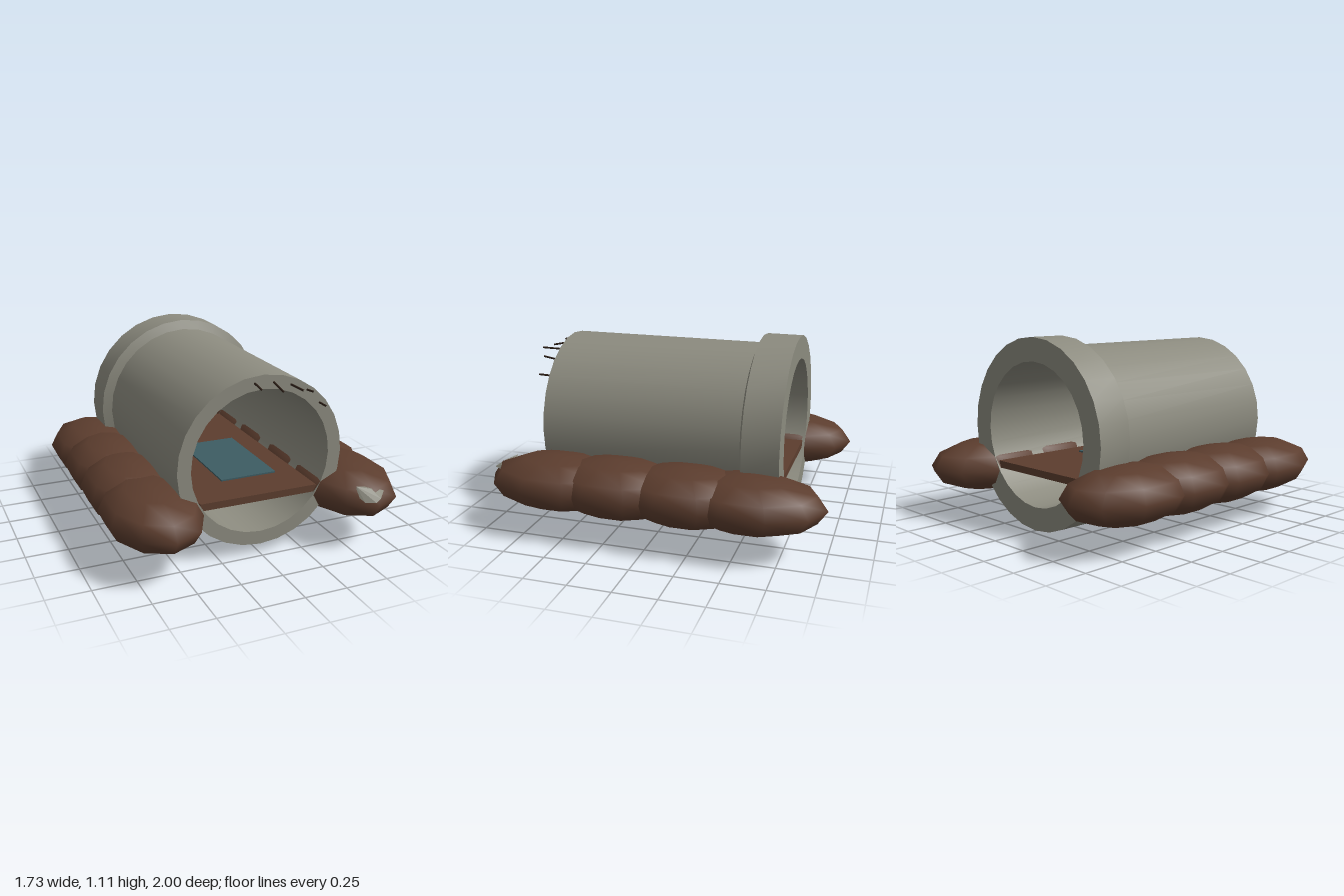
import * as THREE from 'three';
import { toCreasedNormals } from 'three/addons/utils/BufferGeometryUtils.js';
import { ConvexGeometry } from 'three/addons/geometries/ConvexGeometry.js';

const mat = (name, color, extra = {}) =>
  Object.assign(new THREE.MeshStandardMaterial({ color, ...extra }), { name });

export function createModel() {
  const concrete = mat('concrete', 0x8c8b7f);
  const brown = mat('brown', 0x5c3d2e);
  const teal = mat('teal', 0x3d5c63);
  const iron = mat('rusty iron', 0x2e2018);

  const root = new THREE.Group();
  root.name = 'pipeShelter';
  const add = (name, geometry, material, parent = root) => {
    const mesh = new THREE.Mesh(geometry, material);
    mesh.name = name;
    parent.add(mesh);
    return mesh;
  };

  // Hollow pipe with a wider collar at the back; profile is (radius, z)
  const profile = [
    [0.42, -0.715], [0.557, -0.715], [0.557, -0.5], [0.5, -0.48],
    [0.5, 0.715], [0.42, 0.715], [0.42, -0.715],
  ].map(([r, z]) => new THREE.Vector2(r, z));
  const pipe = new THREE.LatheGeometry(profile, 28).rotateX(Math.PI / 2);
  add('pipe', toCreasedNormals(pipe, 0.5), concrete).position.y = 0.558;

  // Row of four sandbags along each side
  const rows = [
    { name: 'leftSandbags', x: 0.6, centres: [0.575, 0.21, -0.21, -0.575] },
    { name: 'rightSandbags', x: -0.6, centres: [0.56, 0.19, -0.19, -0.56] },
  ];
  for (const { name, x, centres } of rows) {
    const row = new THREE.Group();
    row.name = name;
    root.add(row);
    centres.forEach((z, i) => {
      const middle = i === 1 || i === 2;
      const bag = new THREE.SphereGeometry(1, 10, 6)
        .rotateY(Math.PI / 2)
        .scale(0.28, middle ? 0.17 : 0.16, 0.425);
      add('sandbag', bag, brown, row).position.set(x, 0.3, z);
    });
  }

  // Plank floor inside the pipe, with a sleeping mat on it
  add('floorBoard', new THREE.BoxGeometry(0.72, 0.042, 1.4), brown).position.y = 0.338;
  add('mat', new THREE.BoxGeometry(0.35, 0.009, 0.63), teal).position.set(0.05, 0.3635, 0.135);

  // Bare reinforcing rods sticking out of the front rim: start x, y then end x, y, z
  const rods = [
    [-0.05, 1.02, -0.05, 1.0, 0.805],
    [0.062, 1.015, 0.066, 0.985, 0.83],
    [0.168, 0.985, 0.17, 0.988, 0.855],
    [0.27, 0.94, 0.263, 0.956, 0.805],
    [0.352, 0.86, 0.347, 0.863, 0.8],
  ];
  for (const [x0, y0, x1, y1, z1] of rods) {
    const path = new THREE.LineCurve3(
      new THREE.Vector3(x0, y0, 0.69), new THREE.Vector3(x1, y1, z1));
    add('rod', new THREE.TubeGeometry(path, 1, 0.006, 5), iron);
  }

  // Broken concrete chip resting on the front left bag
  const chip = [
    [0.51, 0.395, 0.89], [0.50, 0.35, 0.91], [0.53, 0.32, 0.96], [0.58, 0.325, 0.995],
    [0.61, 0.345, 0.99], [0.685, 0.36, 0.91], [0.65, 0.38, 0.91], [0.58, 0.385, 0.93],
    [0.56, 0.35, 0.88],
  ].map((p) => new THREE.Vector3(...p));
  const chipGeometry = new ConvexGeometry(chip);
  chipGeometry.computeVertexNormals();
  add('concreteChip', chipGeometry, concrete);

  return root;
}
